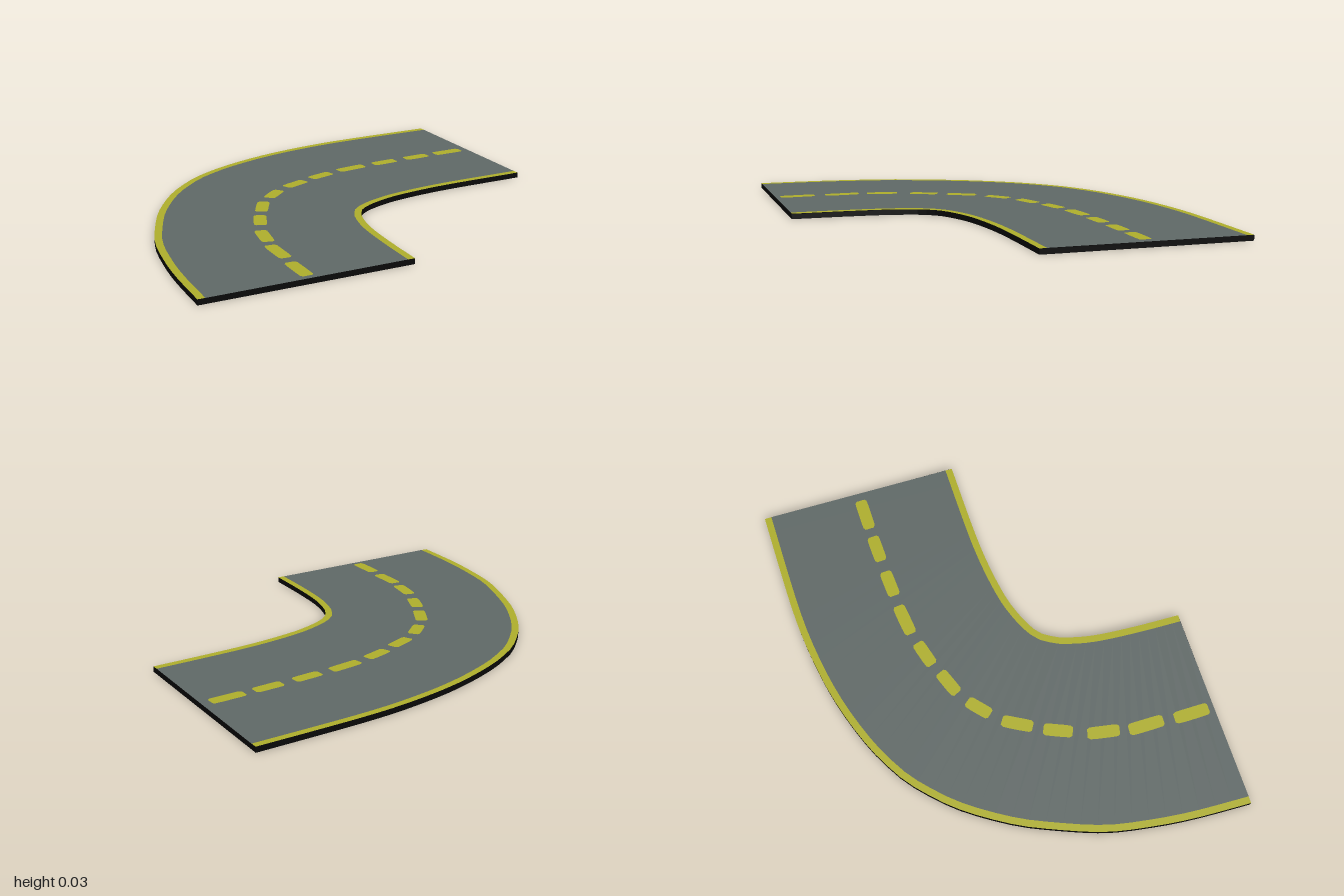
import * as THREE from 'three';

const STEPS = 40, TOP = 0.025, STRIPE = 0.032;

// Plan curves, written as x, z pairs running from the front end to the side end
const curve = (c) => {
  const pts = [];
  for (let i = 0; i < c.length; i += 2) pts.push(new THREE.Vector2(c[i], c[i + 1]));
  return new THREE.SplineCurve(pts);
};
const outerCurve = curve([-1, 0.86, -0.99, 0.6, -0.968, 0.4, -0.93, 0.2, -0.85, -0.016, -0.77, -0.187,
  -0.636, -0.39, -0.49, -0.54, -0.395, -0.61, -0.235, -0.695, 0, -0.778, 0.246, -0.829, 0.513, -0.855, 1, -0.865]);
const innerCurve = curve([-0.06, 0.86, -0.053, 0.64, -0.037, 0.444, -0.005, 0.31, 0.027, 0.246,
  0.064, 0.203, 0.155, 0.155, 0.3, 0.112, 0.567, 0.08, 0.993, 0.07]);
// Each consecutive pair of points is the start and end of one dash
const dashCurve = curve([-0.53, 0.835, -0.53, 0.67, -0.522, 0.62, -0.52, 0.455, -0.507, 0.415, -0.48, 0.27,
  -0.452, 0.21, -0.4, 0.087, -0.375, 0.045, -0.305, -0.08, -0.262, -0.122, -0.17, -0.203,
  -0.12, -0.235, 0, -0.283, 0.046, -0.305, 0.17, -0.342, 0.222, -0.356, 0.375, -0.376,
  0.43, -0.378, 0.562, -0.388, 0.62, -0.39, 0.755, -0.396, 0.8, -0.397, 0.957, -0.401]);

// Point shifted sideways from a curve point (positive is towards the inside of the bend)
const shift = (p, t, d) => new THREE.Vector2(p.x - t.y * d, p.y + t.x * d);
const sample = (c, d) => Array.from({ length: STEPS + 1 }, (_, i) =>
  shift(c.getPointAt(i / STEPS), c.getTangentAt(i / STEPS), d));

// Flat upward-facing strip between two rows of plan points
function strip(a, b, y) {
  const pos = [], index = [];
  a.forEach((p, i) => {
    pos.push(p.x, y, p.y, b[i].x, y, b[i].y);
    const k = 2 * i;
    if (i) index.push(k - 2, k - 1, k, k - 1, k + 1, k);
  });
  const g = new THREE.BufferGeometry();
  g.setAttribute('position', new THREE.Float32BufferAttribute(pos, 3));
  g.setIndex(index);
  g.computeVertexNormals();
  return g;
}

export function createModel() {
  const material = (name, color) => Object.assign(new THREE.MeshStandardMaterial({ color }), { name });
  const black = material('base black', 0x080808);
  const grey = material('asphalt grey', 0x606967);
  const yellow = material('line yellow', 0xafaf2c);

  const road = new THREE.Group();
  road.name = 'curvedRoad';
  const add = (name, geometry, mat, parent = road) => {
    const mesh = new THREE.Mesh(geometry, mat);
    mesh.name = name;
    parent.add(mesh);
  };

  const outer = sample(outerCurve, 0), outerLine = sample(outerCurve, STRIPE);
  const inner = sample(innerCurve, 0), innerLine = sample(innerCurve, -STRIPE);

  // Thin slab under the road surface
  const outline = [...outer, ...inner.slice().reverse()].map((p) => new THREE.Vector2(p.x, -p.y));
  const slab = new THREE.ExtrudeGeometry(new THREE.Shape(outline), { depth: TOP - 0.001, bevelEnabled: false });
  add('roadBase', slab.rotateX(-Math.PI / 2), black);

  // Surface and the two edge lines
  add('asphalt', strip(outerLine, innerLine, TOP), grey);
  add('outerEdgeLine', strip(outer, outerLine, TOP), yellow);
  add('innerEdgeLine', strip(innerLine, inner, TOP), yellow);

  // Dashed centre line with slightly rounded dash ends
  const dashes = new THREE.Group();
  dashes.name = 'centreLine';
  road.add(dashes);
  const profile = [[0, 0.02], [0.1, 0.028], [0.3, 0.029], [0.5, 0.029], [0.7, 0.029], [0.9, 0.028], [1, 0.02]];
  for (let k = 0; k < 12; k++) {
    const side = (s) => profile.map(([f, w]) => {
      const t = (2 * k + f) / 23;
      return shift(dashCurve.getPoint(t), dashCurve.getTangent(t), s * w);
    });
    add('dash', strip(side(-1), side(1), TOP + 0.001), yellow, dashes);
  }
  return road;
}
